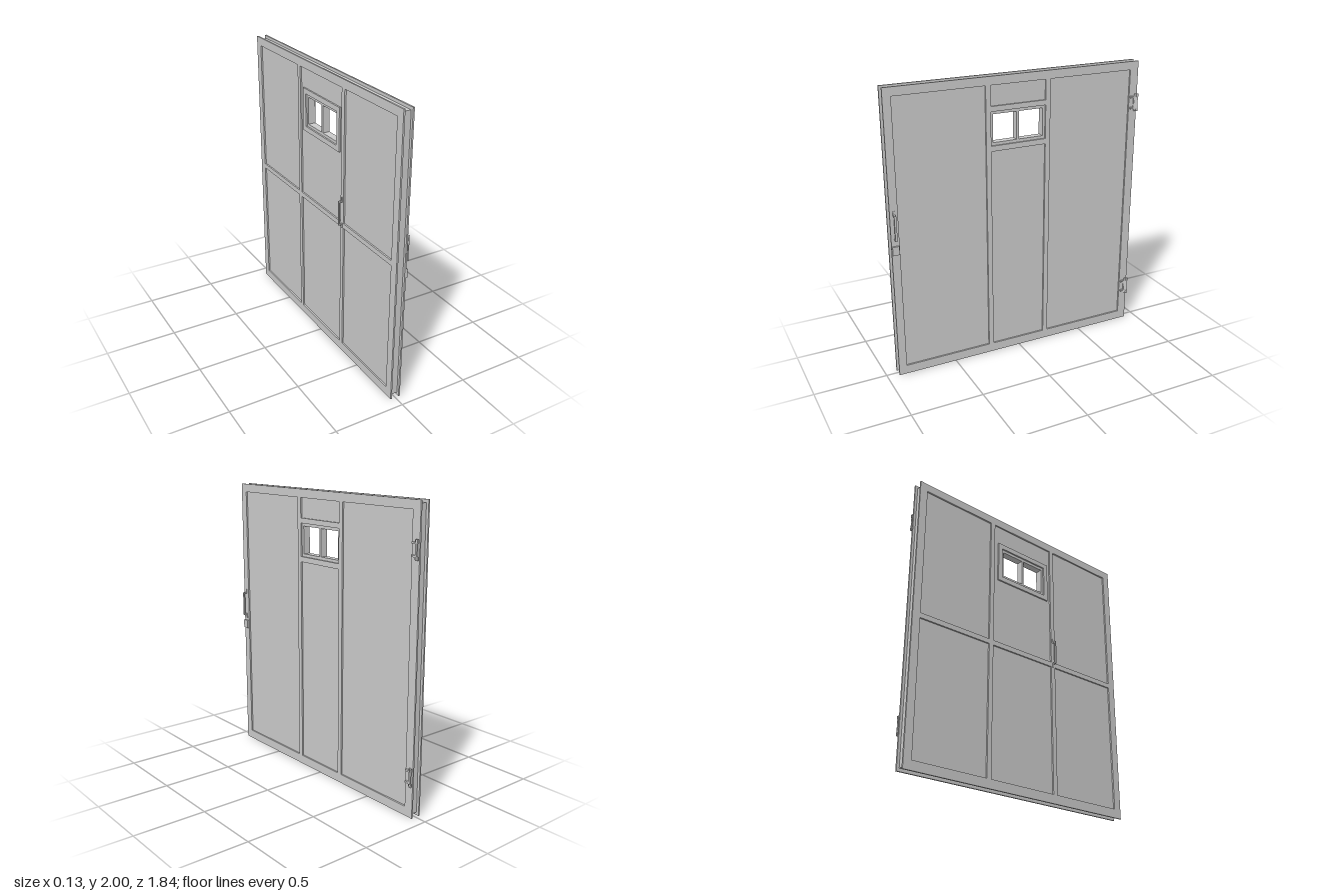
import * as THREE from 'three';

const mat = new THREE.MeshStandardMaterial({ color: 0xcccccc, flatShading: true });

// Rectangle corners in the door plane: [zMin, yMin, zMax, yMax]
const corners = ([z0, y0, z1, y1]) =>
  [[z0, y0], [z1, y0], [z1, y1], [z0, y1]].map(p => new THREE.Vector2(...p));

// Sheet in the z-y plane between x0 and x1, with rectangular openings
function sheet(name, outer, holes, x0, x1) {
  const shape = new THREE.Shape(corners(outer));
  for (const h of holes) shape.holes.push(new THREE.Path(corners(h).reverse()));
  const geo = new THREE.ExtrudeGeometry(shape, { depth: x1 - x0, bevelEnabled: false });
  geo.rotateY(-Math.PI / 2).translate(x1, 0, 0);
  const mesh = new THREE.Mesh(geo, mat);
  mesh.name = name;
  return mesh;
}

function box(name, w, h, d, x, y, z) {
  const mesh = new THREE.Mesh(new THREE.BoxGeometry(w, h, d), mat);
  mesh.name = name;
  mesh.position.set(x, y, z);
  return mesh;
}

// Square-section pull handle, projecting towards side * x
function pullHandle(name, side, z) {
  const g = new THREE.Group();
  g.name = name;
  g.add(box('grip', 0.009, 0.175, 0.014, side * 0.06, 1.095, z));
  for (const s of [-1, 1]) {
    g.add(box('handleArm', 0.026, 0.009, 0.014, side * 0.049, 1.095 + s * 0.083, z));
    g.add(box('mountingTab', 0.006, 0.03, 0.014, side * 0.039, 1.095 + s * 0.097, z));
  }
  return g;
}

// Hinge: fixed arms, a small leaf and a slanted swinging leaf with a pin
function hinge(y) {
  const g = new THREE.Group();
  g.name = 'hinge';
  for (const s of [-1, 1]) {
    g.add(box('hingeArm', 0.014, 0.012, 0.04, 0.043, y + s * 0.039, -0.882));
    g.add(box('leafTip', 0.012, 0.022, 0.016, 0.051, y + s * 0.051, -0.91));
  }
  g.add(box('fixedLeaf', 0.005, 0.08, 0.012, 0.0395, y, -0.896));
  const leaf = box('swingingLeaf', 0.008, 0.118, 0.045, 0.049, y, -0.898);
  leaf.scale.z = 0.6;
  leaf.rotation.y = -0.4;
  leaf.position.z = -0.904;
  g.add(leaf);
  const pin = new THREE.Mesh(new THREE.CylinderGeometry(0.005, 0.005, 0.124, 8), mat);
  pin.name = 'hingePin';
  pin.position.set(0.046, y, -0.9);
  g.add(pin);
  return g;
}

export function createModel() {
  const door = new THREE.Group();
  door.name = 'door';

  const full = [-0.918, 0, 0.918, 2];
  const panes = [[0.015, 1.56, 0.187, 1.75], [-0.177, 1.56, -0.001, 1.75]];

  // Core slab, set in at the rim and pierced by the two panes
  door.add(sheet('core', [-0.9, 0.02, 0.9, 1.98], panes, -0.026, 0.026));

  // Outer face framing: tall side panels and a split centre column
  door.add(sheet('outerFrame', full, [
    [0.24, 0.063, 0.863, 1.942],
    [-0.855, 0.063, -0.23, 1.942],
    [-0.195, 0.063, 0.205, 1.503],
    [-0.195, 1.54, 0.205, 1.77],
    [-0.195, 1.805, 0.205, 1.942],
  ], 0.026, 0.037));

  // Inner face framing: three columns by two rows of panels
  const inner = [];
  for (const [z0, z1] of [[-0.86, -0.302], [-0.267, 0.267], [0.302, 0.86]])
    for (const [y0, y1] of [[0.063, 0.985], [1.02, 1.942]]) inner.push([z0, y0, z1, y1]);
  door.add(sheet('innerFrame', full, inner, -0.037, -0.026));

  // Trim round the window on the inner face
  door.add(sheet('windowTrim', [-0.23, 1.505, 0.24, 1.805],
    [[-0.195, 1.54, 0.205, 1.77]], -0.037, -0.026));

  // Ironmongery
  door.add(pullHandle('outerHandle', 1, 0.89));
  door.add(pullHandle('innerHandle', -1, 0.285));
  door.add(box('lock', 0.014, 0.06, 0.046, 0.043, 0.935, 0.892));
  for (const y of [0.28, 1.712]) door.add(hinge(y));

  return door;
}
